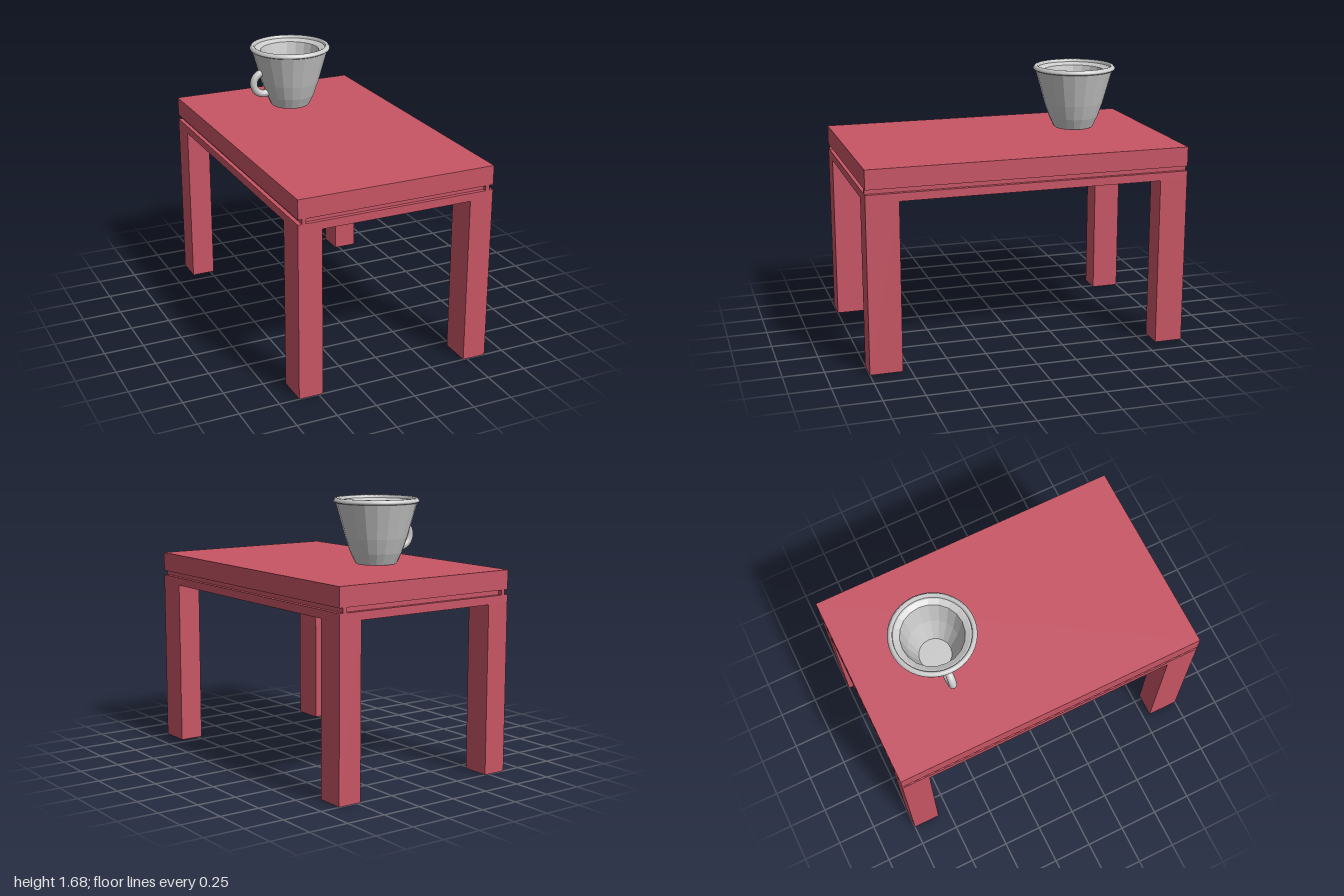
import * as THREE from 'three';

const red = new THREE.MeshStandardMaterial({ color: 0xc85565 });
const grey = new THREE.MeshStandardMaterial({ color: 0xcccccc });
const greyFlat = new THREE.MeshStandardMaterial({ color: 0xcccccc, flatShading: true });

// Box given by its lower and upper corners
function block(name, [x0, y0, z0], [x1, y1, z1]) {
  const mesh = new THREE.Mesh(new THREE.BoxGeometry(x1 - x0, y1 - y0, z1 - z0), red);
  mesh.position.set((x0 + x1) / 2, (y0 + y1) / 2, (z0 + z1) / 2);
  mesh.name = name;
  return mesh;
}

function lathe(name, points, segments, material) {
  const profile = points.map(([r, y]) => new THREE.Vector2(r, y));
  const mesh = new THREE.Mesh(new THREE.LatheGeometry(profile, segments), material);
  mesh.name = name;
  return mesh;
}

function createTable() {
  const table = new THREE.Group();
  table.name = 'table';
  table.add(block('tableTop', [-0.625, 1.13, -1], [0.625, 1.25, 1]));
  table.add(block('apron', [-0.625, 1.05, -1], [0.625, 1.1, 1]));

  // Recessed layer that leaves a shadow gap all around
  table.add(block('recessedCore', [-0.6, 1.1, -0.975], [0.6, 1.13, 0.975]));
  for (const sx of [-1, 1]) {
    for (const sz of [-1, 1]) {
      // Small spacers at the ends of the front and back grooves
      const spacer = block('grooveSpacer', [-0.0125, 1.1, -0.0125], [0.0125, 1.13, 0.0125]);
      spacer.position.x = sx * 0.5875;
      spacer.position.z = sz * 0.9875;
      table.add(spacer);

      // Front legs are slightly deeper than the back ones
      const depth = sz > 0 ? 0.2 : 0.175;
      const leg = block(sz > 0 ? 'frontLeg' : 'backLeg', [-0.075, 0, -depth / 2], [0.075, 1.05, depth / 2]);
      leg.position.x = sx * 0.55;
      leg.position.z = sz * (1 - depth / 2);
      table.add(leg);
    }
  }
  return table;
}

function createCup() {
  const cup = new THREE.Group();
  cup.name = 'cup';

  // Faceted wall: outside upward, over the inner ledge, then down to the floor
  cup.add(lathe('cupBody', [
    [0, 0], [0.12, 0], [0.127, 0.006], [0.157, 0.07], [0.188, 0.16], [0.216, 0.26], [0.248, 0.375],
    [0.235, 0.38], [0.222, 0.38], [0.19, 0.365], [0.155, 0.2], [0.1, 0.04], [0, 0.04],
  ], 20, greyFlat));

  // Rounded lip around the mouth
  cup.add(lathe('cupRim', [
    [0.228, 0.374], [0.25, 0.368], [0.259, 0.374], [0.26, 0.382], [0.254, 0.388],
    [0.25, 0.396], [0.24, 0.398], [0.231, 0.394], [0.228, 0.374],
  ], 48, grey));

  // Ring handle whose ends sink into the wall
  const start = THREE.MathUtils.degToRad(90);
  const arc = THREE.MathUtils.degToRad(205);
  const handle = new THREE.Mesh(new THREE.TorusGeometry(0.071, 0.024, 12, 28, arc), grey);
  handle.name = 'cupHandle';
  handle.rotation.z = start;
  handle.position.set(-0.185, 0.163, 0);
  cup.add(handle);

  cup.position.set(-0.02, 1.28, -0.488);
  return cup;
}

export function createModel() {
  const model = new THREE.Group();
  model.name = 'tableWithCup';
  model.add(createTable(), createCup());
  return model;
}
